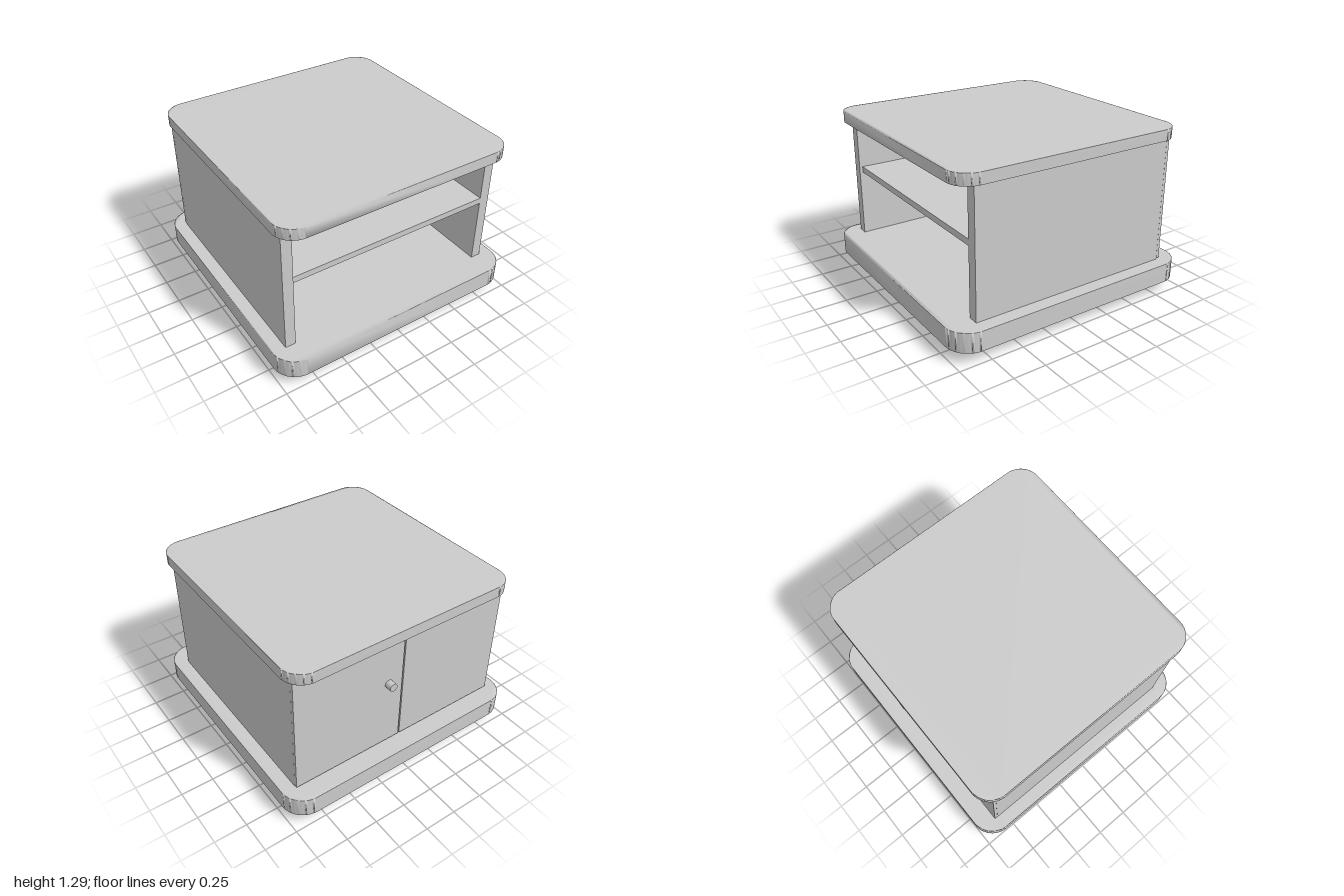
import * as THREE from 'three';
import { mergeVertices } from 'three/addons/utils/BufferGeometryUtils.js';

export function createModel() {
  const group = new THREE.Group();
  const material = new THREE.MeshStandardMaterial({ color: 0xcccccc });

  const add = (name, geometry, x = 0, y = 0, z = 0) => {
    const mesh = new THREE.Mesh(geometry, material);
    mesh.name = name;
    mesh.position.set(x, y, z);
    group.add(mesh);
    return mesh;
  };

  // Box given by its limits on each axis
  const board = (name, [x0, x1], [y0, y1], [z0, z1]) =>
    add(name, new THREE.BoxGeometry(x1 - x0, y1 - y0, z1 - z0),
      (x0 + x1) / 2, (y0 + y1) / 2, (z0 + z1) / 2);

  // Square slab with rounded corners and soft shading over its rim
  const slab = (name, h, r, y0, y1) => {
    const shape = new THREE.Shape();
    const c = h - r;
    shape.absarc(c, c, r, 0, Math.PI / 2);
    shape.absarc(-c, c, r, Math.PI / 2, Math.PI);
    shape.absarc(-c, -c, r, Math.PI, Math.PI * 1.5);
    shape.absarc(c, -c, r, Math.PI * 1.5, Math.PI * 2);
    let geometry = new THREE.ExtrudeGeometry(shape, {
      depth: y1 - y0, bevelEnabled: false, curveSegments: 10,
    });
    geometry.rotateX(-Math.PI / 2);
    geometry.deleteAttribute('normal');
    geometry.deleteAttribute('uv');
    geometry = mergeVertices(geometry, 1e-4);
    geometry.computeVertexNormals();
    return add(name, geometry, 0, y0, 0);
  };

  slab('base', 1, 0.18, 0.09, 0.24);
  slab('top', 0.933, 0.16, 1.21, 1.295);

  // Side panels and the shelf between them
  board('leftPanel', [0.815, 0.895], [0.24, 1.21], [-0.83, 0.805]);
  board('rightPanel', [-0.9, -0.82], [0.24, 1.21], [-0.83, 0.83]);
  board('shelf', [-0.82, 0.815], [0.767, 0.815], [-0.83, 0.805]);

  // Pair of doors closing the back, with a narrow gap
  board('leftDoor', [0, 0.895], [0.25, 1.21], [-0.855, -0.831]);
  board('rightDoor', [-0.9, -0.011], [0.25, 1.21], [-0.855, -0.831]);

  // Door knob
  const knob = new THREE.CylinderGeometry(0.032, 0.032, 0.06, 24);
  knob.rotateX(Math.PI / 2);
  add('knob', knob, 0.12, 0.803, -0.88);

  // Ball feet
  const ball = new THREE.SphereGeometry(0.079, 24, 16);
  for (const [x, z] of [[0.78, 0.83], [0.793, -0.76], [-0.833, 0.83], [-0.833, -0.76]]) {
    add('foot', ball, x, 0.079, z);
  }

  return group;
}
